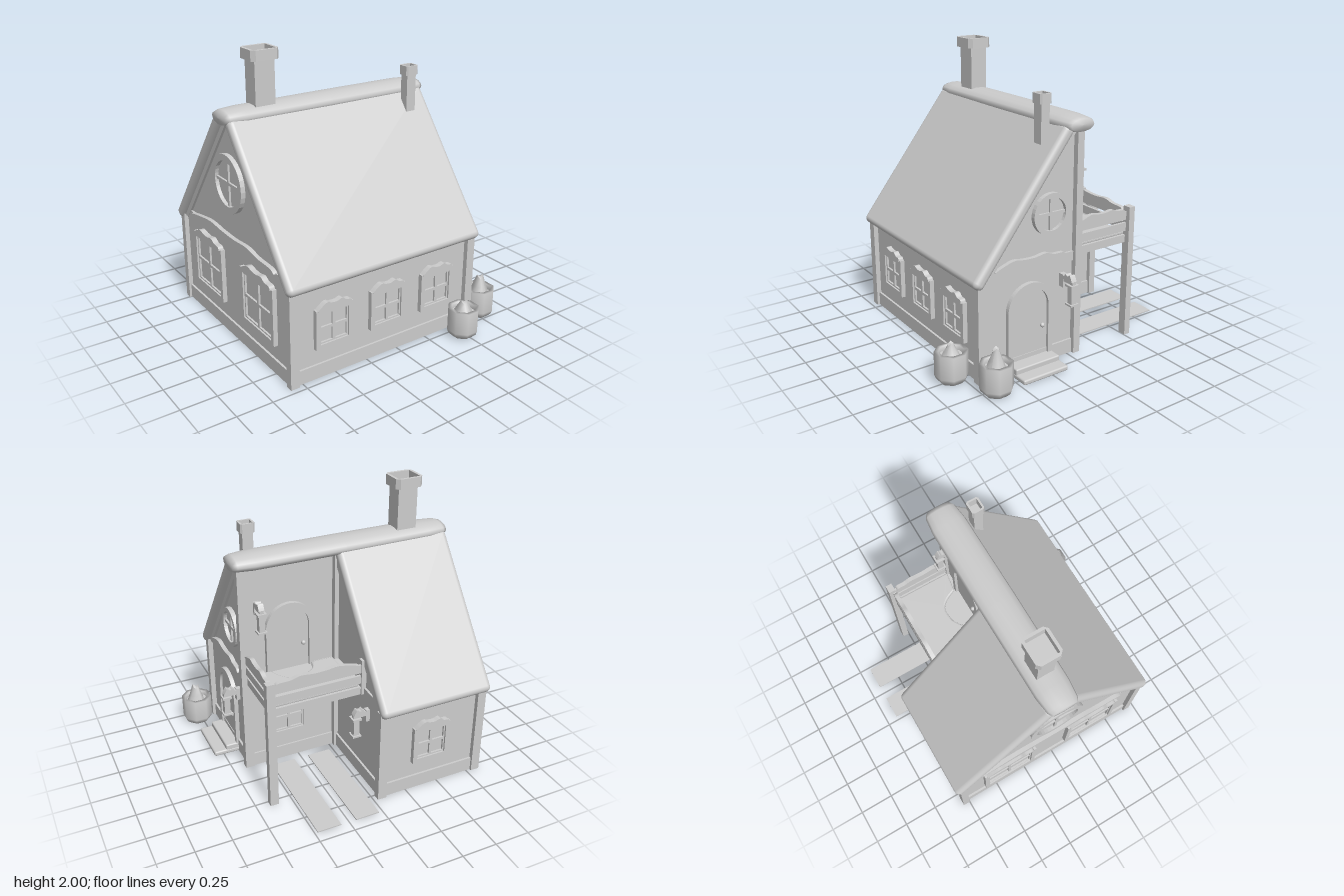
import * as THREE from 'three';
import { RoundedBoxGeometry } from 'three/addons/geometries/RoundedBoxGeometry.js';

const clay = new THREE.MeshStandardMaterial({ color: 0xcccccc, side: THREE.DoubleSide });
clay.name = 'lightGrey';

const RIDGE_Z = -0.045, RIDGE_Y = 1.625, SLOPE = 1.3;
// wall planes, set back behind the corner posts
const LEFT = 0.62, RIGHT = -0.815, FRONT = 0.68, BACK = -0.77, NOTCH_X = -0.06, NOTCH_Z = -0.07;
const roofY = z => RIDGE_Y - SLOPE * Math.abs(z - RIDGE_Z);

function add(parent, name, geo, x = 0, y = 0, z = 0) {
  const m = new THREE.Mesh(geo, clay);
  m.name = name;
  m.position.set(x, y, z);
  parent.add(m);
  return m;
}
// box given by its minimum and maximum corners
function box(parent, name, x0, x1, y0, y1, z0, z1) {
  return add(parent, name, new THREE.BoxGeometry(x1 - x0, y1 - y0, z1 - z0), (x0 + x1) / 2, (y0 + y1) / 2, (z0 + z1) / 2);
}
// group whose local +z points out of a wall
function mount(parent, name, x, y, z, ry) {
  const g = new THREE.Group();
  g.name = name;
  g.position.set(x, y, z);
  g.rotation.y = ry;
  parent.add(g);
  return g;
}
const poly = pts => new THREE.Shape(pts.map(p => new THREE.Vector2(...p)));
const extrude = (shape, depth, bevel = 0) => new THREE.ExtrudeGeometry(shape, {
  depth, curveSegments: 16, bevelEnabled: bevel > 0, bevelSize: bevel, bevelThickness: bevel, bevelSegments: 2 });
const rect = (w, h) => poly([[-w / 2, -h / 2], [w / 2, -h / 2], [w / 2, h / 2], [-w / 2, h / 2]]);
const disc = r => { const s = new THREE.Shape(); s.absarc(0, 0, r, 0, Math.PI * 2); return s; };
function ring(outer, inner, depth) { outer.holes.push(inner); return extrude(outer, depth); }

// wavy bank of snow, base at y = 0
function snow(parent, w, h, d, x, y, z) {
  const s = new THREE.Shape();
  s.moveTo(-w / 2, 0);
  s.lineTo(w / 2, 0);
  s.splineThru([[0.46, 0.45], [0.32, 0.55], [0.2, 0.95], [0.05, 0.75], [-0.1, 0.8], [-0.24, 1], [-0.38, 0.6], [-0.5, 0.1]]
    .map(p => new THREE.Vector2(p[0] * w, p[1] * h)));
  return add(parent, 'snow', extrude(s, d), x, y, z);
}
// glazing bars shared by square and round windows
function bars(g, w, h) {
  box(g, 'glazingBar', -0.01, 0.01, -h / 2, h / 2, 0, 0.02);
  box(g, 'glazingBar', -w / 2, w / 2, -0.01, 0.01, 0, 0.02);
}
function squareWindow(parent, x, y, z, ry, w = 0.28, h = 0.28) {
  const g = mount(parent, 'window', x, y, z, ry), b = 0.032;
  add(g, 'windowFrame', ring(rect(w, h), rect(w - 2 * b, h - 2 * b), 0.032));
  add(g, 'windowSash', ring(rect(w - 2 * b, h - 2 * b), rect(w - 2.6 * b, h - 2.6 * b), 0.02));
  add(g, 'windowPane', new THREE.PlaneGeometry(w - 2 * b, h - 2 * b), 0, 0, 0.006);
  bars(g, w - 2 * b, h - 2 * b);
  snow(g, w * 0.92, 0.05, 0.038, 0, h / 2 - 0.005, 0);
}
function roundWindow(parent, x, y, z, ry, r) {
  const g = mount(parent, 'roundWindow', x, y, z, ry);
  add(g, 'windowFrame', ring(disc(r), disc(r * 0.78), 0.032));
  add(g, 'windowPane', new THREE.CircleGeometry(r * 0.8, 24), 0, 0, 0.006);
  bars(g, r * 1.56, r * 1.56);
}
function arch(r, h) {
  const s = new THREE.Shape();
  s.moveTo(-r, 0);
  s.lineTo(r, 0);
  s.lineTo(r, h - r);
  s.absarc(0, h - r, r, 0, Math.PI);
  s.closePath();
  return s;
}
function door(parent, x, y, z, ry) {
  const g = mount(parent, 'door', x, y, z, ry);
  add(g, 'doorFrame', ring(arch(0.175, 0.6), arch(0.14, 0.56), 0.03));
  add(g, 'doorPanel', extrude(arch(0.141, 0.561), 0.01));
  add(g, 'doorKnob', new THREE.SphereGeometry(0.016, 12, 8), 0.1, 0.275, 0.02);
}
// hanging lantern, y is the bottom of the lamp
function lantern(parent, x, y, z, ry) {
  const g = mount(parent, 'lantern', x, y, z, ry), c = 0.08;
  box(g, 'wallPlate', -0.018, 0.018, 0.1, 0.19, -0.035, 0.008);
  box(g, 'arm', -0.014, 0.014, 0.145, 0.165, 0, c + 0.02);
  box(g, 'lampBase', -0.032, 0.032, 0, 0.012, c - 0.032, c + 0.032);
  box(g, 'lampBody', -0.021, 0.021, 0.012, 0.13, c - 0.021, c + 0.021);
  box(g, 'lampTop', -0.032, 0.032, 0.13, 0.145, c - 0.032, c + 0.032);
  snow(g, 0.095, 0.045, 0.04, -0.02, 0.163, 0.052).rotation.y = Math.PI / 2;
}
function chimney(parent, x, z, w, d, y0, y1, capH, lip, rim) {
  const g = mount(parent, 'chimney', x, 0, z, 0);
  const W = w / 2 + lip, D = d / 2 + lip, c = lip * 0.9;
  const cap = poly([[-W + c, -D], [W - c, -D], [W, -D + c], [W, D - c], [W - c, D], [-W + c, D], [-W, D - c], [-W, -D + c]]);
  box(g, 'chimneyShaft', -w / 2, w / 2, y0, y1 - capH, -d / 2, d / 2);
  add(g, 'chimneyCap', ring(cap, rect(2 * (W - rim), 2 * (D - rim)), capH).rotateX(-Math.PI / 2), 0, y1 - capH, 0);
  add(g, 'capFloor', new THREE.PlaneGeometry(2 * W - rim, 2 * D - rim).rotateX(-Math.PI / 2), 0, y1 - capH + 0.003, 0);
}
// planter with a ragged tapering shrub
function planter(parent, x, z, top) {
  const g = mount(parent, 'planter', x, 0, z, Math.PI / 8);
  const profile = [[0.078, 0], [0.103, 0.025], [0.111, 0.05], [0.111, 0.21], [0.083, 0.21], [0.083, 0.17]];
  add(g, 'pot', new THREE.LatheGeometry(profile.map(p => new THREE.Vector2(...p)), 8));
  add(g, 'soil', new THREE.CircleGeometry(0.084, 8).rotateX(-Math.PI / 2), 0, 0.175, 0);
  const shrub = new THREE.CylinderGeometry(0.022, 0.07, top - 0.17, 8, 2);
  const p = shrub.attributes.position;
  for (let i = 0; i < p.count; i++) {
    const a = Math.atan2(p.getZ(i), p.getX(i)), k = 1 + 0.12 * Math.sin(3 * a);
    const lift = p.getY(i) > 0.01 ? 0.015 * Math.sin(2 * a) : 0;
    p.setXYZ(i, p.getX(i) * k, p.getY(i) + lift, p.getZ(i) * k);
  }
  shrub.computeVertexNormals();
  add(g, 'shrub', shrub, 0, (top + 0.17) / 2 - 0.012, 0);
}
// gable wall sheet at x, between z0 and z1, with rafters, beam and plinth on side dir
function gable(parent, x, z0, z1, dir) {
  const g = mount(parent, 'gableWall', 0, 0, 0, 0);
  const pts = [[z0, 0], [z1, 0], [z1, roofY(z1)]];
  if (z0 < RIDGE_Z && z1 > RIDGE_Z) pts.push([RIDGE_Z, RIDGE_Y]);
  pts.push([z0, roofY(z0)]);
  add(g, 'wall', new THREE.ShapeGeometry(poly(pts.map(([z, y]) => [-z, y]).reverse())).rotateY(Math.PI / 2), x);
  const xa = Math.min(x, x + dir * 0.015), xb = Math.max(x, x + dir * 0.015);
  box(g, 'plinth', xa, xb, 0, 0.1, z0, z1);
  box(g, 'beam', xa, xb, 0.67, 0.735, z0, z1);
  // rafters stop on top of the beam
  const foot = (RIDGE_Y - 0.085 - 0.67) / SLOPE;
  for (const s of [-1, 1]) {
    const end = s > 0 ? z1 : z0;
    if ((end - RIDGE_Z) * s < 0.1) continue;
    const strip = [[RIDGE_Z, RIDGE_Y], [end, roofY(end)], [RIDGE_Z + s * foot, 0.67], [RIDGE_Z, RIDGE_Y - 0.085]];
    add(g, 'rafter', extrude(poly(strip.map(([z, y]) => [-z, y])), 0.018).rotateY(Math.PI / 2), dir > 0 ? x : x - 0.018);
  }
}

export function createModel() {
  const house = new THREE.Group();
  house.name = 'cottage';
  const H = Math.PI / 2;

  // walls, open underneath
  const walls = mount(house, 'walls', 0, 0, 0, 0);
  const sheet = (x0, x1, z, h, ry) => add(walls, 'wall', new THREE.PlaneGeometry(x1 - x0, h), (x0 + x1) / 2, h / 2, z).rotation.y = ry;
  sheet(RIGHT, LEFT, FRONT, 0.7, 0);
  sheet(RIGHT, NOTCH_X, BACK, 0.7, Math.PI);
  sheet(NOTCH_X, LEFT, NOTCH_Z, 1.58, Math.PI);
  gable(walls, RIGHT, BACK, FRONT, -1);
  gable(walls, LEFT, NOTCH_Z, FRONT, 1);
  gable(walls, NOTCH_X, BACK, NOTCH_Z, 1);
  box(walls, 'plinth', RIGHT, LEFT, 0, 0.1, FRONT, FRONT + 0.015);
  box(walls, 'plinth', RIGHT, NOTCH_X, 0, 0.1, BACK - 0.015, BACK);
  box(walls, 'plinth', NOTCH_X, LEFT, 0, 0.1, NOTCH_Z - 0.012, NOTCH_Z);

  // corner posts
  for (const [x, z, h] of [[-0.815, 0.688, 0.69], [0.625, 0.688, 0.69], [-0.815, -0.775, 0.69], [-0.06, -0.775, 0.69], [0.627, -0.065, 1.57], [-0.06, -0.085, 1.55]])
    box(walls, 'cornerPost', x - 0.032, x + 0.032, 0, h, z - 0.026, z + 0.026);

  // roof slabs, the rear one covers only the right half
  const roof = mount(house, 'roof', 0, 0, 0, 0);
  const slab = (x0, x1, zLow, zHigh) => {
    const dz = zLow - zHigh, dy = 0.682 - 1.557, len = Math.hypot(dz, dy);
    const m = add(roof, 'roofSlab', new RoundedBoxGeometry(x1 - x0, 0.082, len + 0.055, 4, 0.036), (x0 + x1) / 2, 1.1195, (zLow + zHigh) / 2);
    m.rotation.x = Math.atan2(-dy, dz);
  };
  slab(-0.865, 0.678, 0.71, 0.035);
  slab(-0.865, -0.028, -0.80, -0.125);

  // ridge roll with blunt ends
  const roll = [[0, -0.79], [0.09, -0.785], [0.108, -0.755], [0.122, -0.64], [0.125, 0], [0.122, 0.64], [0.108, 0.755], [0.09, 0.785], [0, 0.79]];
  const ridge = new THREE.LatheGeometry(roll.map(p => new THREE.Vector2(...p)), 14).rotateZ(-H).scale(1, 0.46, 1);
  add(roof, 'ridgeRoll', ridge, -0.09, 1.587, RIDGE_Z);
  chimney(roof, -0.57, RIDGE_Z, 0.145, 0.125, 1.5, 2, 0.07, 0.028, 0.02);
  chimney(roof, 0.503, 0.13, 0.075, 0.065, 1.3, 1.78, 0.065, 0.012, 0.013);

  // windows
  for (const x of [-0.515, -0.09, 0.33]) squareWindow(house, x, 0.355, FRONT, 0);
  squareWindow(house, -0.43, 0.355, BACK, Math.PI);
  squareWindow(house, 0.32, 0.355, NOTCH_Z, Math.PI);
  for (const z of [-0.39, 0.3]) squareWindow(house, RIGHT, 0.41, z, -H, 0.42, 0.4);
  roundWindow(house, LEFT, 1.03, 0.15, H, 0.14);
  roundWindow(house, RIGHT, 1.14, RIDGE_Z, -H, 0.2);

  // snow lying on the gable beams
  const ledge = (x, z, ry, w) => snow(mount(house, 'ledgeSnow', x, 0.73, z, ry), w, 0.05, 0.03, 0, 0, 0);
  ledge(LEFT, 0.305, H, 0.55);
  ledge(RIGHT, RIDGE_Z, -H, 1.15);

  // doors and entrance steps
  door(house, LEFT, 0, 0.31, H);
  door(house, 0.3, 0.65, NOTCH_Z, Math.PI);
  add(house, 'upperStep', new RoundedBoxGeometry(0.11, 0.07, 0.345, 2, 0.01), 0.675, 0.035, 0.305);
  add(house, 'lowerStep', new RoundedBoxGeometry(0.2, 0.035, 0.35, 2, 0.012), 0.72, 0.0175, 0.305);

  // balcony with rails, post and snow
  const balcony = mount(house, 'balcony', 0, 0, 0, 0);
  box(balcony, 'balconyFloor', NOTCH_X, 0.62, 0.69, 0.745, -0.52, NOTCH_Z);
  for (const y of [0.775, 0.855]) {
    box(balcony, 'backRail', NOTCH_X, 0.62, y, y + 0.06, -0.522, -0.504);
    box(balcony, 'sideRail', 0.608, 0.626, y, y + 0.06, -0.52, -0.08);
  }
  box(balcony, 'balconyPost', 0.597, 0.657, 0, 0.95, -0.55, -0.503);
  box(balcony, 'railPost', -0.06, -0.025, 0.69, 0.95, -0.53, -0.49);
  snow(balcony, 0.6, 0.04, 0.03, 0.29, 0.913, -0.526);
  snow(mount(balcony, 'railSnow', 0.602, 0.913, -0.29, H), 0.4, 0.04, 0.03, 0, 0, 0);
  const drift = new THREE.Shape();
  drift.moveTo(0.14, 0.12);
  drift.splineThru([[0.17, 0.19], [0.22, 0.23], [0.27, 0.25], [0.36, 0.25], [0.42, 0.2], [0.46, 0.12]].map(p => new THREE.Vector2(...p)));
  for (const p of [[0.59, 0.1], [0.59, 0.49], [0, 0.49], [0, 0.12]]) drift.lineTo(...p);
  add(balcony, 'floorSnow', extrude(drift, 0.01, 0.012).rotateX(-H), 0, 0.75, 0);
  balcony.children.at(-1).scale.z = 1;

  // lanterns
  lantern(house, 0.655, 0.41, 0.045, H);
  lantern(house, -0.04, 0.41, -0.575, H);
  lantern(house, 0.53, 1.11, -0.08, Math.PI);

  // ground boards and planters
  for (const x of [0.115, 0.395]) box(house, 'groundBoard', x - 0.085, x + 0.085, 0, 0.008, -0.92, -0.15);
  planter(house, 0.49, 0.815, 0.265);
  planter(house, 0.78, 0.665, 0.31);
  return house;
}
